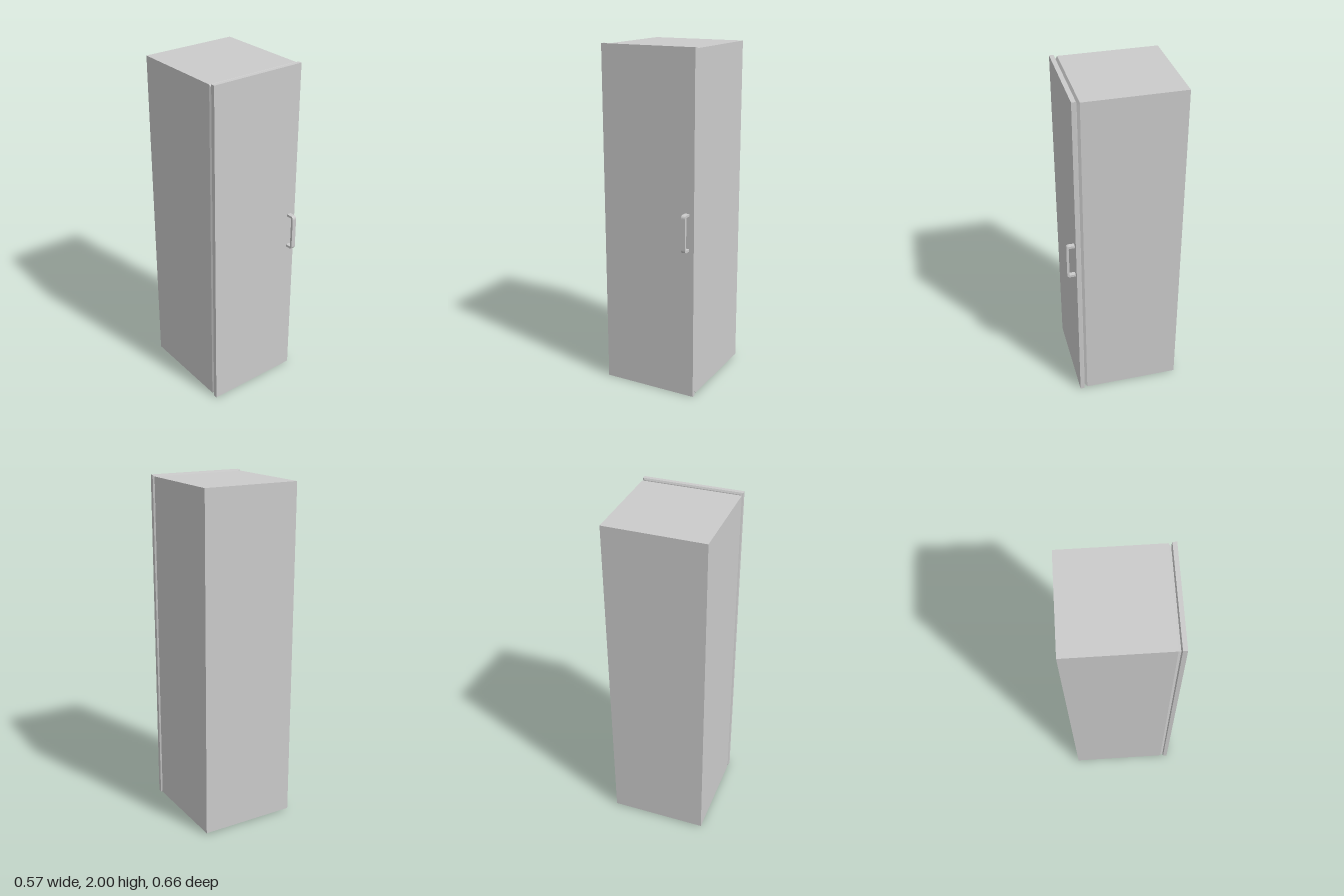
import * as THREE from 'three';

const grey = new THREE.MeshStandardMaterial({ color: 0xcccccc });

// Box lofted along z through sections [z, half width, half height], hard edges
function loftedBox(name, sections) {
  const n = sections.length - 1;
  const box = new THREE.BoxGeometry(2, 2, n, 1, 1, n);
  const p = box.attributes.position;
  for (let i = 0; i < p.count; i++) {
    const [z, w, h] = sections[Math.round(p.getZ(i) + n / 2)];
    p.setXYZ(i, Math.sign(p.getX(i)) * w, 1 + Math.sign(p.getY(i)) * h, z);
  }
  const geometry = box.toNonIndexed();
  geometry.computeVertexNormals();
  const mesh = new THREE.Mesh(geometry, grey);
  mesh.name = name;
  return mesh;
}

// Flat bar bent into a bow: side profile (depth, height) extruded across x
function makeHandle() {
  const back = 0.278, front = 0.331, low = 0.89, high = 1.106, t = 0.014, r = 0.02, ri = 0.007;
  const s = new THREE.Shape();
  s.moveTo(back, low);
  s.lineTo(front - r, low);
  s.quadraticCurveTo(front, low, front, low + r);
  s.lineTo(front, high - r);
  s.quadraticCurveTo(front, high, front - r, high);
  s.lineTo(back, high);
  s.lineTo(back, high - t);
  s.lineTo(front - t - ri, high - t);
  s.quadraticCurveTo(front - t, high - t, front - t, high - t - ri);
  s.lineTo(front - t, low + t + ri);
  s.quadraticCurveTo(front - t, low + t, front - t - ri, low + t);
  s.lineTo(back, low + t);
  s.closePath();
  const geometry = new THREE.ExtrudeGeometry(s, { depth: 0.026, bevelEnabled: false, curveSegments: 8 });
  geometry.rotateY(-Math.PI / 2); // profile depth to +z, extrusion to -x
  geometry.translate(0.258, 0, 0);
  const mesh = new THREE.Mesh(geometry, grey);
  mesh.name = 'handle';
  return mesh;
}

export function createModel() {
  const model = new THREE.Group();
  model.name = 'cabinet';
  // Cabinet body, tapering in behind the door
  model.add(loftedBox('body', [[-0.332, 0.285, 0.993], [0.238, 0.285, 0.993], [0.253, 0.277, 0.972]]));
  // Full-height door with a bevelled back edge
  model.add(loftedBox('door', [[0.253, 0.278, 0.99], [0.258, 0.287, 1], [0.282, 0.287, 1]]));
  model.add(makeHandle());
  return model;
}
